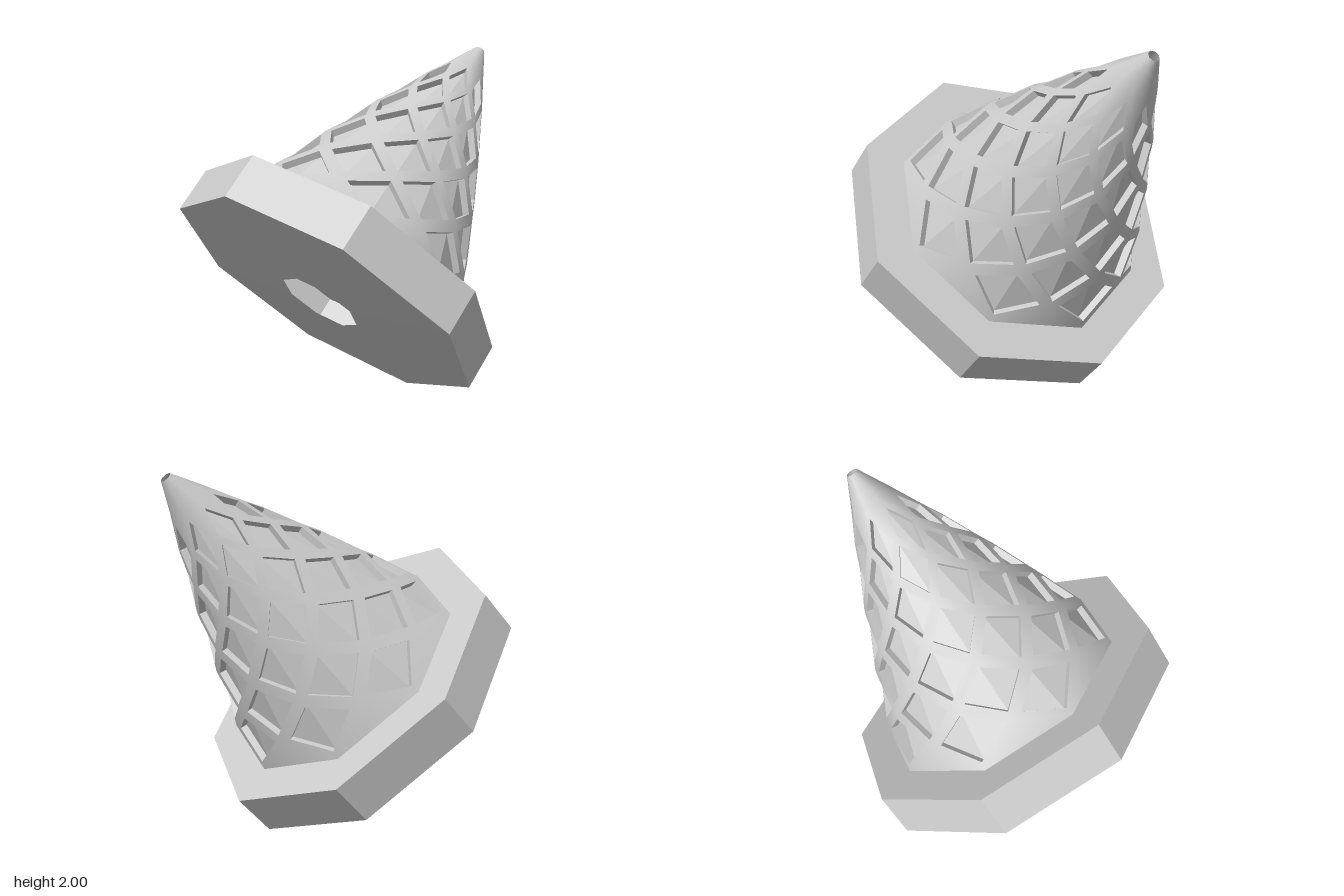
import * as THREE from 'three';

const SIDES = 8, ROWS = 7, BASE = 0.27, TOP = 1.82, STEP = 0.172;
const START = THREE.MathUtils.degToRad(20.6), HALF = Math.PI / SIDES;
const INSET = 0.24, DEPTH = 0.04;

// Slightly bulging cone profile
function radius(h) {
  const t = (h - BASE) / (TOP - BASE);
  return 0.725 + (0.032 - 0.725) * t + 0.03 * Math.sin(Math.PI * t);
}

function onCone(h, a) {
  const r = radius(h);
  return new THREE.Vector3(r * Math.cos(a), h, r * Math.sin(a));
}

// Lattice node: every ring is turned half a side from the one below
const node = (ring, j) => onCone(BASE + STEP * ring, START + HALF * (2 * j + (ring % 2)));

function addTri(list, ...points) {
  for (const p of points) list.push(p.x, p.y, p.z);
}

function addQuad(list, a, b, c, d) {
  addTri(list, a, b, c);
  addTri(list, a, c, d);
}

function toGeometry(list) {
  const g = new THREE.BufferGeometry();
  g.setAttribute('position', new THREE.Float32BufferAttribute(list, 3));
  g.computeVertexNormals();
  return g;
}

export function createModel() {
  const model = new THREE.Group();
  model.name = 'latticeConeHat';
  const smooth = new THREE.MeshStandardMaterial({ color: 0xcccccc, side: THREE.DoubleSide });
  const flat = new THREE.MeshStandardMaterial({ color: 0xcccccc, side: THREE.DoubleSide, flatShading: true });

  const add = (name, geometry, material) => {
    const mesh = new THREE.Mesh(geometry, material);
    mesh.name = name;
    model.add(mesh);
  };

  // Thick octagonal brim with a hole in its underside
  const brimProfile = [[0.24, -0.035], [0.95, 0], [0.95, BASE], [0.72, BASE]]
    .map(([r, h]) => new THREE.Vector2(r, h));
  add('brim', new THREE.LatheGeometry(brimProfile, SIDES, Math.PI / 2 - START), flat);

  // Diamond lattice and its sunken panels
  const lattice = [], panels = [];
  for (let k = 0; k < ROWS; k++) {
    for (let j = 0; j < SIDES; j++) {
      const odd = k % 2;
      const corners = [node(k, j), node(k + 1, j - 1 + odd), node(k + 2, j), node(k + 1, j + odd)];
      const centre = new THREE.Vector3();
      corners.forEach(p => centre.addScaledVector(p, 0.25));
      const inward = corners[2].clone().sub(corners[0])
        .cross(corners[3].clone().sub(corners[1])).normalize();
      if (inward.x * centre.x + inward.z * centre.z > 0) inward.negate();
      const rim = corners.map(p => p.clone().lerp(centre, INSET));
      const floor = rim.map(p => p.clone().addScaledVector(inward, DEPTH));
      for (let i = 0; i < 4; i++) {
        const n = (i + 1) % 4;
        addQuad(lattice, corners[i], corners[n], rim[n], rim[i]);
        addQuad(panels, rim[i], rim[n], floor[n], floor[i]);
      }
      addQuad(panels, ...floor);
    }
  }

  // Plain triangles closing the bottom and top of the lattice, and the tip
  const last = ROWS + 1, lastOdd = last % 2;
  for (let j = 0; j < SIDES; j++) {
    addTri(lattice, node(0, j), node(1, j), node(0, j + 1));
    addTri(lattice, node(last - 1, j), node(last, j + lastOdd), node(last, j + 1 - lastOdd));
    for (let s = 0; s < 4; s++) {
      const a0 = START + HALF * (2 * j + lastOdd), a1 = a0 + 2 * HALF;
      const h0 = BASE + STEP * last;
      const lo = THREE.MathUtils.lerp(h0, TOP, s / 4), hi = THREE.MathUtils.lerp(h0, TOP, (s + 1) / 4);
      addQuad(lattice, onCone(lo, a0), onCone(hi, a0), onCone(hi, a1), onCone(lo, a1));
    }
  }

  // Smooth cone normals over the lattice
  const shell = toGeometry(lattice);
  const pos = shell.attributes.position, normal = new THREE.Vector3();
  for (let i = 0; i < pos.count; i++) {
    normal.set(pos.getX(i), 0, pos.getZ(i)).normalize().setY(0.45).normalize();
    shell.attributes.normal.setXYZ(i, normal.x, normal.y, normal.z);
  }
  add('coneLattice', shell, smooth);
  add('sunkenPanels', toGeometry(panels), flat);

  // Tilt the whole piece
  const up = new THREE.Vector3(0.341, 0.729, -0.594).normalize();
  const side = new THREE.Vector3(1, 0, 0).addScaledVector(up, -up.x).normalize();
  const front = side.clone().cross(up);
  model.quaternion.setFromRotationMatrix(new THREE.Matrix4().makeBasis(side, up, front));
  model.position.set(-0.045, 0.65, 0.175);

  const root = new THREE.Group();
  root.name = 'tiltedHat';
  root.add(model);
  return root;
}
